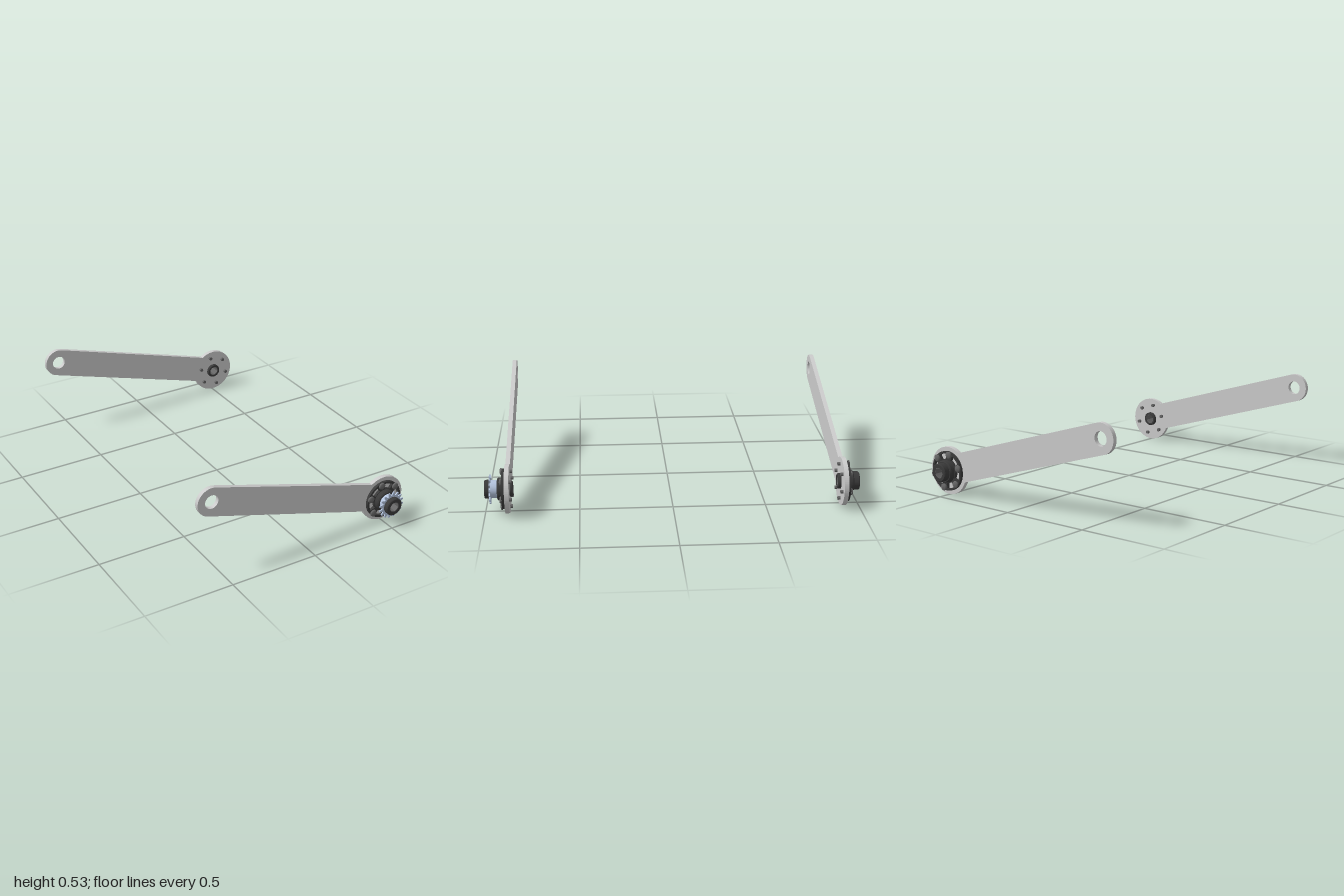
import * as THREE from 'three';

const GREY = new THREE.MeshStandardMaterial({ color: 0xcccccc });
const DARK = new THREE.MeshStandardMaterial({ color: 0x3a3a3a });
const STEEL = new THREE.MeshStandardMaterial({ color: 0x666666 });
const BLUE = new THREE.MeshStandardMaterial({ color: 0xb4c4de });

const REACH = 1.111;    // hub centre to axle hole
const ANGLE = Math.atan2(0.32, -1.064);
const THICK = 0.024;

function add(parent, name, geometry, material, x = 0, y = 0, z = 0) {
  const mesh = new THREE.Mesh(geometry, material);
  mesh.name = name;
  mesh.position.set(x, y, z);
  parent.add(mesh);
  return mesh;
}

function extrude(shape, depth) {
  return new THREE.ExtrudeGeometry(shape, { depth, bevelEnabled: false, curveSegments: 32 });
}

function circleHole(x, y, r) {
  return new THREE.Path().absarc(x, y, r, 0, Math.PI * 2, true);
}

// Closed path around a circle whose radius alternates through the given list
function notched(PathType, radii, repeats) {
  const points = [];
  const n = radii.length * repeats;
  for (let i = 0; i < n; i++) {
    const a = (i / n) * Math.PI * 2, r = radii[i % radii.length];
    points.push(new THREE.Vector2(r * Math.cos(a), r * Math.sin(a)));
  }
  return new PathType(points);
}

// Ring-shaped solid along z: outer profile [r, z], closed by the bore; crisp steps
function turned(bore, profile) {
  const first = profile[0], last = profile[profile.length - 1];
  const loop = [[bore, first[1]], ...profile, [bore, last[1]], [bore, first[1]]];
  const points = [];
  for (let i = 0; i < loop.length; i++) {
    const p = new THREE.Vector2(...loop[i]);
    points.push(p);
    if (i > 0 && i < loop.length - 1) points.push(p.clone());
  }
  const geo = new THREE.LatheGeometry(points, 48).toNonIndexed();
  geo.computeVertexNormals();
  return geo.rotateX(Math.PI / 2);
}

// Flat lever: round end with a hole, straight sides, large round hub end
function armGeometry() {
  const hubR = 0.13, endR = 0.08;
  const a = Math.asin(endR / hubR);
  const shape = new THREE.Shape();
  shape.absarc(0, 0, hubR, a, Math.PI * 2 - a, false);
  shape.absarc(REACH, 0, endR, -Math.PI / 2, Math.PI / 2, false);
  shape.closePath();
  shape.holes.push(circleHole(0, 0, 0.042), circleHole(REACH, 0, 0.038));
  return extrude(shape, THICK);
}

// Thin flange with six curved windows between the bolts
function flangeGeometry() {
  const shape = new THREE.Shape().absarc(0, 0, 0.108, 0, Math.PI * 2, false);
  shape.holes.push(circleHole(0, 0, 0.04));
  for (let i = 0; i < 6; i++) {
    const a = THREE.MathUtils.degToRad(i * 60 + 14), b = THREE.MathUtils.degToRad(i * 60 + 46);
    const hole = new THREE.Path();
    hole.absarc(0, 0, 0.096, a, b, false);
    hole.absarc(0, 0, 0.066, b, a, true);
    hole.closePath();
    shape.holes.push(hole);
  }
  return extrude(shape, 0.016);
}

// One arm with its hub; the outer face looks along +z
function buildSide(name, withSprocket) {
  const side = new THREE.Group();
  side.name = name;
  const length = withSprocket ? 0.133 : 0.099;
  const capBase = withSprocket ? 0.107 : 0.064;

  add(side, 'arm', armGeometry(), GREY);
  add(side, 'flange', flangeGeometry(), DARK, 0, 0, THICK);
  add(side, 'neck', turned(0.03, [[0.062, 0.04], [0.06, 0.06], [0.055, 0.066]]), DARK);
  add(side, 'innerBoss', turned(0.028, [[0.038, -0.016], [0.041, -0.012], [0.041, 0.04]]), DARK);
  add(side, 'endCap', turned(0.029, [[0.05, capBase], [0.05, length - 0.004], [0.046, length]]), DARK);

  // Hexagonal bore sleeve through the whole hub
  const sleeve = new THREE.Shape().absarc(0, 0, 0.031, 0, Math.PI * 2, false);
  sleeve.holes.push(notched(THREE.Path, [0.028, 0.025], 6));
  add(side, 'boreSleeve', extrude(sleeve, length + 0.009), STEEL, 0, 0, -0.012);

  if (withSprocket) {
    add(side, 'sprocketDrum', turned(0.03, [[0.047, 0.066], [0.047, 0.107]]), BLUE);
    const teeth = notched(THREE.Shape, [0.06, 0.078, 0.078, 0.06], 16);
    teeth.holes.push(circleHole(0, 0, 0.04));
    add(side, 'sprocket', extrude(teeth, 0.007), BLUE, 0, 0, 0.1);
  }

  // Six bolts: domed heads outside, small tips inside
  const head = new THREE.LatheGeometry(
    [[0.019, 0], [0.019, 0.006], [0.015, 0.01], [0, 0.012]].map(p => new THREE.Vector2(...p)), 20
  ).rotateX(Math.PI / 2);
  const tip = new THREE.CylinderGeometry(0.01, 0.01, 0.016, 16).rotateX(Math.PI / 2);
  for (let i = 0; i < 6; i++) {
    const a = (i / 6) * Math.PI * 2;
    const x = 0.093 * Math.cos(a), y = 0.093 * Math.sin(a);
    add(side, 'boltHead', head, STEEL, x, y, 0.04);
    add(side, 'boltTip', tip, STEEL, x, y, -0.006);
  }
  return side;
}

export function createModel() {
  const model = new THREE.Group();
  model.name = 'crankArmPair';

  const front = buildSide('frontArm', true);
  front.rotation.z = ANGLE;
  front.position.set(0.506, 0.131, 0.867);
  model.add(front);

  // Rear arm is turned to face backwards, still reaching the same way
  const rear = new THREE.Group();
  rear.name = 'rearArmMount';
  const rearArm = buildSide('rearArm', false);
  rearArm.rotation.z = Math.PI - ANGLE;
  rear.add(rearArm);
  rear.rotation.y = Math.PI;
  rear.position.set(0.506, 0.131, -0.901);
  model.add(rear);

  return model;
}
